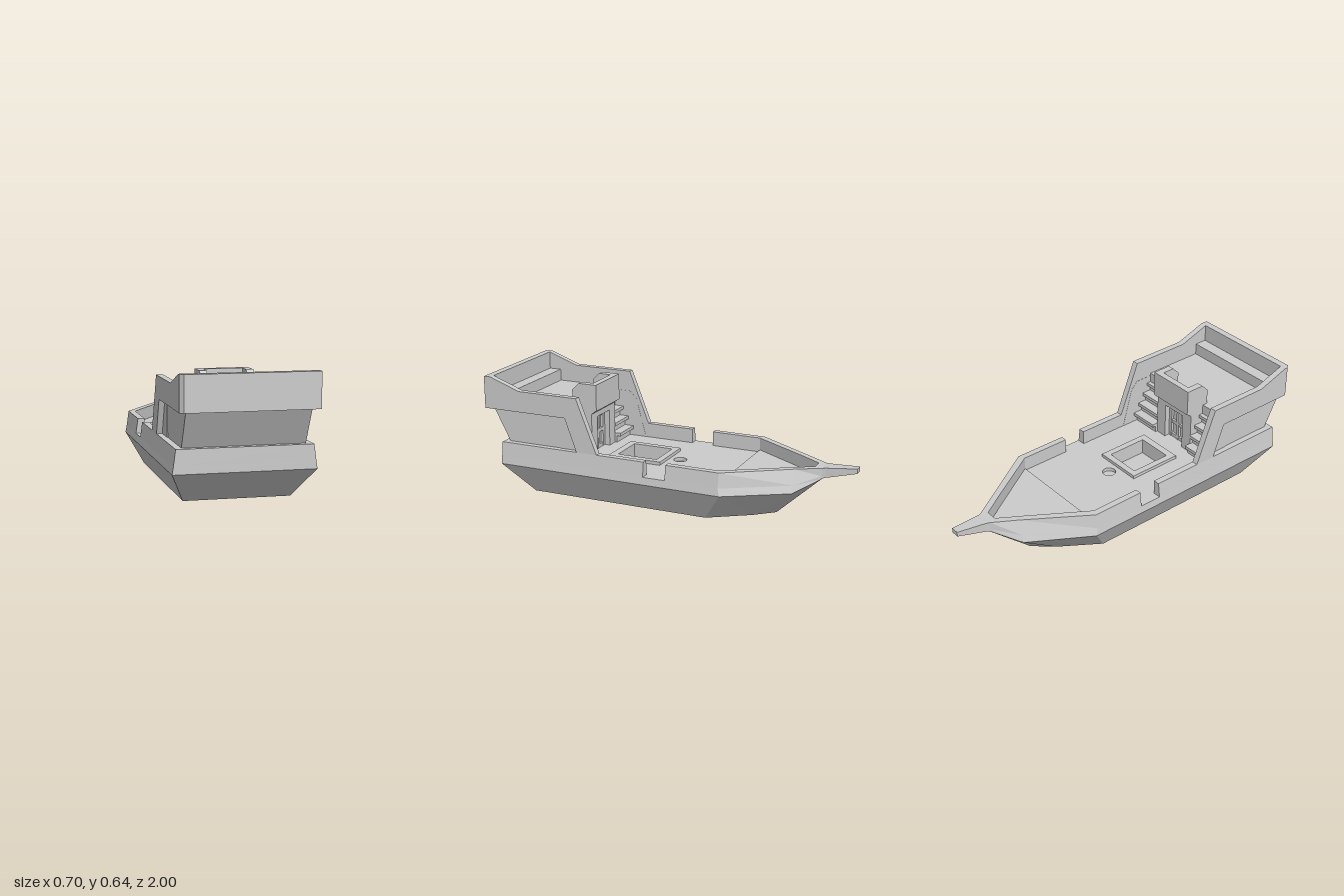
import * as THREE from 'three';

const material = new THREE.MeshStandardMaterial({ color: 0xcccccc, flatShading: true, side: THREE.DoubleSide });

export function createModel() {
  const ship = new THREE.Group();
  ship.name = 'sailingShipHull';

  const add = (name, geometry) => {
    const mesh = new THREE.Mesh(geometry, material);
    mesh.name = name;
    ship.add(mesh);
    return mesh;
  };

  // Box given by its limits
  const box = (name, x0, x1, y0, y1, z0, z1) =>
    add(name, new THREE.BoxGeometry(x1 - x0, y1 - y0, z1 - z0)
      .translate((x0 + x1) / 2, (y0 + y1) / 2, (z0 + z1) / 2));

  const shapeOf = (pts) => new THREE.Shape(pts.map(([a, b]) => new THREE.Vector2(a, b)));
  const rectHole = (a0, a1, b0, b1) =>
    new THREE.Path([[a0, b0], [a0, b1], [a1, b1], [a1, b0]].map(([a, b]) => new THREE.Vector2(a, b)));

  // Side profile (z, y) extruded across x0..x1
  const profile = (name, pts, x0, x1) =>
    add(name, new THREE.ExtrudeGeometry(shapeOf(pts), { depth: x1 - x0, bevelEnabled: false })
      .rotateY(-Math.PI / 2).translate(x1, 0, 0));

  // Plan outline (x, z) extruded down from the top height
  const plan = (name, shape, top, depth) =>
    add(name, new THREE.ExtrudeGeometry(shape, { depth, bevelEnabled: false })
      .rotateX(Math.PI / 2).translate(0, top, 0));

  // Skin over rings ordered stern to bow; each ring runs clockwise seen from the stern
  const loft = (name, rings, closed = true) => {
    const n = rings[0].length, pos = [];
    const quad = (a, b, c, d) => pos.push(...a, ...b, ...c, ...a, ...c, ...d);
    for (let s = 0; s < rings.length - 1; s++) {
      const a = rings[s], b = rings[s + 1];
      for (let i = 0; i < (closed ? n : n - 1); i++) {
        const j = (i + 1) % n;
        quad(a[i], a[j], b[j], b[i]);
      }
    }
    const first = rings[0], last = rings[rings.length - 1];
    for (let i = 0; i < n / 2 - 1; i++) {
      quad(first[i], first[n - 1 - i], first[n - 2 - i], first[i + 1]);
      quad(last[i], last[i + 1], last[n - 2 - i], last[n - 1 - i]);
    }
    const g = new THREE.BufferGeometry();
    g.setAttribute('position', new THREE.Float32BufferAttribute(pos, 3));
    g.computeVertexNormals();
    return add(name, g);
  };
  const mirror = (ring) => ring.map(([x, y, z]) => [-x, y, z]).reverse();

  // Hull: deck edge, chine and keel points at each station
  const stations = [
    [[0.346, 0.2, 0.9], [0.352, 0.16, 0.9], [0.268, 0, 0.74]],
    [[0.346, 0.2, -0.37], [0.352, 0.16, -0.38], [0.268, 0, -0.27]],
    [[0.147, 0.2, -0.7], [0.16, 0.16, -0.7], [0.13, 0, -0.48]],
    [[0.045, 0.235, -0.82], [0.045, 0.22, -0.82], [0.04, 0, -0.58]],
  ];
  loft('hull', stations.map((half) => [...half, ...mirror(half)]), false);

  // Bulwarks with a gangway gap on each side
  const rail = (z) => [[0.335, 0.28, z], [0.346, 0.2, z], [0.3, 0.2, z], [0.3, 0.28, z]];
  const foreRail = [
    rail(-0.075),
    [[0.335, 0.28, -0.37], [0.346, 0.2, -0.37], [0.3, 0.2, -0.355], [0.3, 0.28, -0.355]],
    [[0.12, 0.28, -0.7], [0.147, 0.2, -0.7], [0.107, 0.2, -0.66], [0.107, 0.28, -0.66]],
    [[0.045, 0.278, -0.82], [0.045, 0.235, -0.82], [0.03, 0.2, -0.78], [0.03, 0.278, -0.78]],
  ];
  const aftRail = [rail(0.9), rail(0.05)];
  loft('leftForeBulwark', foreRail);
  loft('rightForeBulwark', foreRail.map(mirror));
  loft('leftAftBulwark', aftRail);
  loft('rightAftBulwark', aftRail.map(mirror));
  box('sternBulwark', -0.32, 0.32, 0.2, 0.28, 0.86, 0.9);

  // Bowsprit
  loft('bowsprit', [
    [-0.78, 0.03, 0.278, 0.2], [-0.82, 0.045, 0.278, 0.222], [-0.84, 0.04, 0.28, 0.228], [-1, 0.022, 0.292, 0.266],
  ].map(([z, w, top, low]) => [[w, top, z], [w, low, z], [-w, low, z], [-w, top, z]]));

  // Main deck with hatch and mast holes
  const side = [[0.3, 0.88], [0.3, 0.05], [0.346, 0.05], [0.346, -0.075], [0.3, -0.075], [0.3, -0.36], [0.05, -0.74]];
  const deck = shapeOf([...side, ...side.map(([x, z]) => [-x, z]).reverse()]);
  deck.holes.push(rectHole(-0.1, 0.1, 0.085, 0.315));
  deck.holes.push(new THREE.Path().absarc(0, -0.01, 0.036, 0, Math.PI * 2, true));
  plan('mainDeck', deck, 0.2, 0.012);
  add('mastSocketFloor', new THREE.CylinderGeometry(0.04, 0.04, 0.01, 24).translate(0, 0.175, -0.01));
  add('mastSocketWall', new THREE.CylinderGeometry(0.036, 0.036, 0.025, 24, 1, true).translate(0, 0.187, -0.01));
  plan('foredeck', shapeOf([[0.3, -0.355], [0.03, -0.775], [-0.03, -0.775], [-0.3, -0.355]]), 0.212, 0.013);

  // Cargo hatch: raised rim and sunken well
  const rim = shapeOf([[-0.135, 0.05], [0.135, 0.05], [0.135, 0.355], [-0.135, 0.355]]);
  rim.holes.push(rectHole(-0.1, 0.1, 0.085, 0.315));
  plan('hatchRim', rim, 0.218, 0.02);
  const well = shapeOf([[-0.11, 0.075], [0.11, 0.075], [0.11, 0.325], [-0.11, 0.325]]);
  well.holes.push(rectHole(-0.1, 0.1, 0.085, 0.315));
  plan('hatchWell', well, 0.195, 0.07);
  box('hatchFloor', -0.11, 0.11, 0.12, 0.13, 0.075, 0.325);

  // Stern cabin, raked at the back, with the raised deck on top
  profile('cabin', [[0.54, 0.2], [0.86, 0.2], [0.87, 0.28], [0.965, 0.46], [0.54, 0.46]], -0.302, 0.302);
  box('poopDeck', -0.302, 0.302, 0.458, 0.475, 0.54, 0.97);
  box('sternBench', -0.302, 0.302, 0.475, 0.54, 0.89, 0.965);

  // Outer side frames with a sloping front post, and the recessed panels behind them
  const frame = [[0.32, 0.27], [0.44, 0.575], [0.785, 0.575], [0.96, 0.637], [0.965, 0.637],
    [0.965, 0.46], [0.51, 0.46], [0.44, 0.27]];
  const panel = [[0.34, 0.2], [0.4, 0.42], [0.44, 0.46], [0.56, 0.46], [0.56, 0.2]];
  for (const [word, s] of [['left', 1], ['right', -1]]) {
    const span = (a, b) => (s > 0 ? [a, b] : [-b, -a]);
    profile(word + 'SternFrame', frame, ...span(0.3, 0.335));
    profile(word + 'RecessPanel', panel, ...span(0.299, 0.306));

    // Stairs: solid risers with overhanging treads
    for (let i = 0; i < 4; i++) {
      const y = 0.255 + i * 0.055, z = 0.42 + i * 0.032;
      box(word + 'StairRiser', ...span(0.135, 0.3), 0.2, y - 0.015, z + 0.022, 0.545);
      box(word + 'StairTread', ...span(0.135, 0.3), y - 0.018, y, z, 0.545);
    }
    // Balcony arms with chamfered ends
    profile(word + 'BalconyArm', [[0.43, 0.46], [0.43, 0.6], [0.53, 0.6], [0.57, 0.56], [0.57, 0.46]], ...span(0.1, 0.137));
  }
  plan('sternRail', shapeOf([[-0.335, 0.96], [-0.335, 0.98], [-0.317, 1], [0.335, 1], [0.335, 0.96]]), 0.637, 0.177);

  // Balcony over the cabin door
  box('balconyFront', -0.137, 0.137, 0.455, 0.6, 0.425, 0.46);
  profile('balconyFloor', [[0.425, 0.475], [0.545, 0.475], [0.545, 0.43], [0.46, 0.43], [0.425, 0.458]], -0.137, 0.137);

  // Doorway and panelled door
  const doorway = shapeOf([[-0.137, 0.2], [-0.07, 0.2], [-0.07, 0.405], [0.07, 0.405], [0.07, 0.2],
    [0.137, 0.2], [0.137, 0.45], [-0.137, 0.45]]);
  add('doorway', new THREE.ExtrudeGeometry(doorway, { depth: 0.085, bevelEnabled: false }).translate(0, 0, 0.455));
  box('door', -0.07, 0.07, 0.2, 0.405, 0.5, 0.545);
  for (const x of [-0.06, 0, 0.06]) box('doorUpright', x - 0.01, x + 0.01, 0.2, 0.405, 0.485, 0.505);
  for (const y of [0.21, 0.3, 0.393]) box('doorCrossbar', -0.07, 0.07, y - 0.01, y + 0.01, 0.487, 0.505);

  return ship;
}
